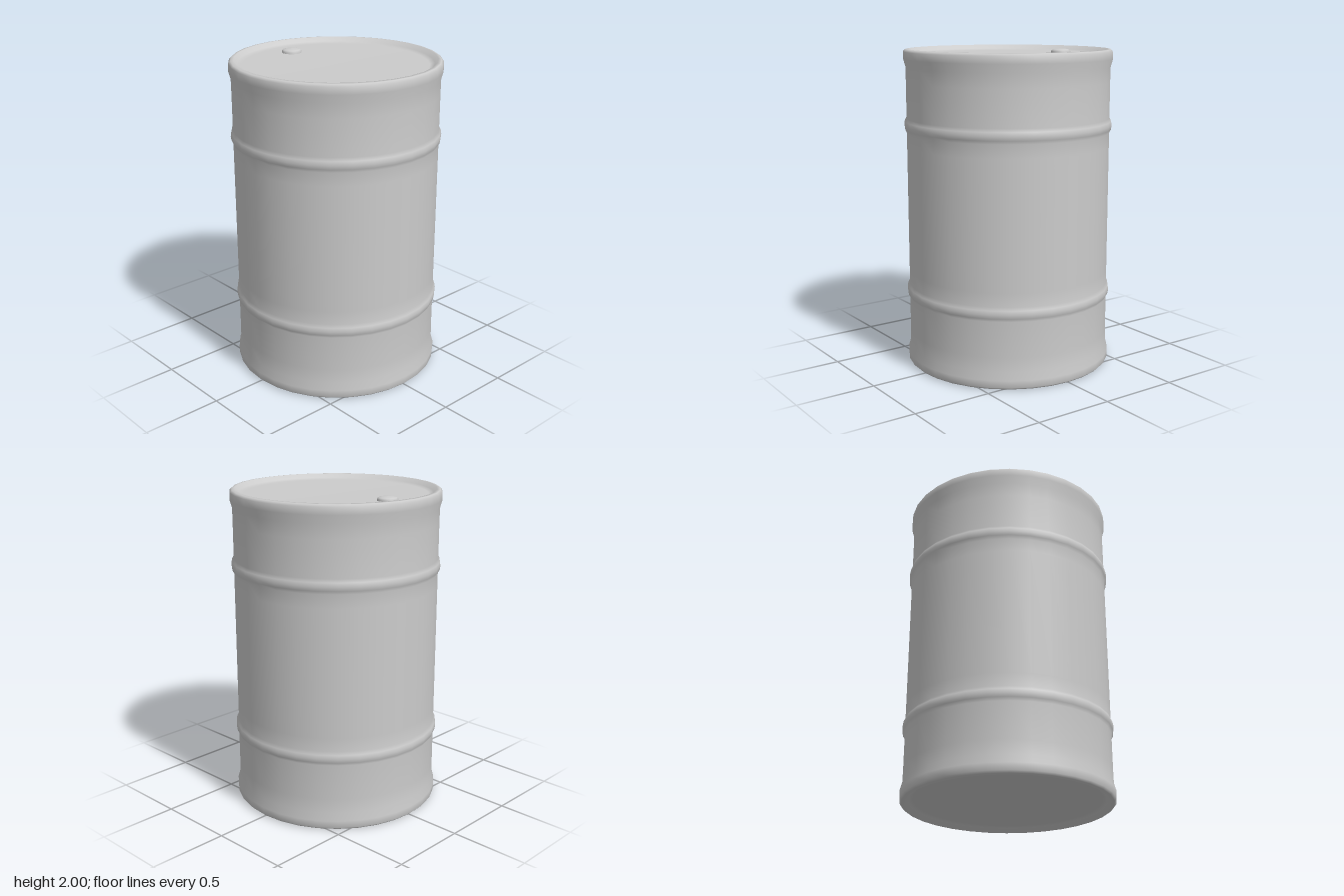
import * as THREE from 'three';

const material = new THREE.MeshStandardMaterial({ color: 0xcccccc });

// Smooth revolved part from [radius, height] pairs, running bottom to top
function revolve(name, profile, sides) {
  const points = profile.map(([r, y]) => new THREE.Vector2(r, y));
  const mesh = new THREE.Mesh(new THREE.LatheGeometry(points, sides), material);
  mesh.name = name;
  return mesh;
}

export function createModel() {
  const group = new THREE.Group();
  group.name = 'drum';

  // Lower half: dished base, rolled rim, wall and raised hoop
  const lowerHalf = [
    [0, 0.04], [0.57, 0.035], [0.6, 0.025], [0.62, 0], [0.64, 0.002],
    [0.653, 0.015], [0.655, 0.06], [0.641, 0.11],
    [0.64, 0.2], [0.64, 0.425], [0.651, 0.445], [0.655, 0.47],
    [0.651, 0.495], [0.64, 0.515], [0.64, 0.6],
  ];
  // The upper half mirrors the lower one
  const upperHalf = lowerHalf.map(([r, y]) => [r, 2 - y]).reverse();
  group.add(revolve('barrelBody', [...lowerHalf, ...upperHalf], 32));

  // Low rounded plug set into the lid
  const plug = revolve('lidPlug', [
    [0.063, 1.95], [0.063, 1.973], [0.055, 1.982], [0.035, 1.987], [0, 1.99],
  ], 24);
  plug.position.x = -0.42;
  group.add(plug);

  return group;
}
